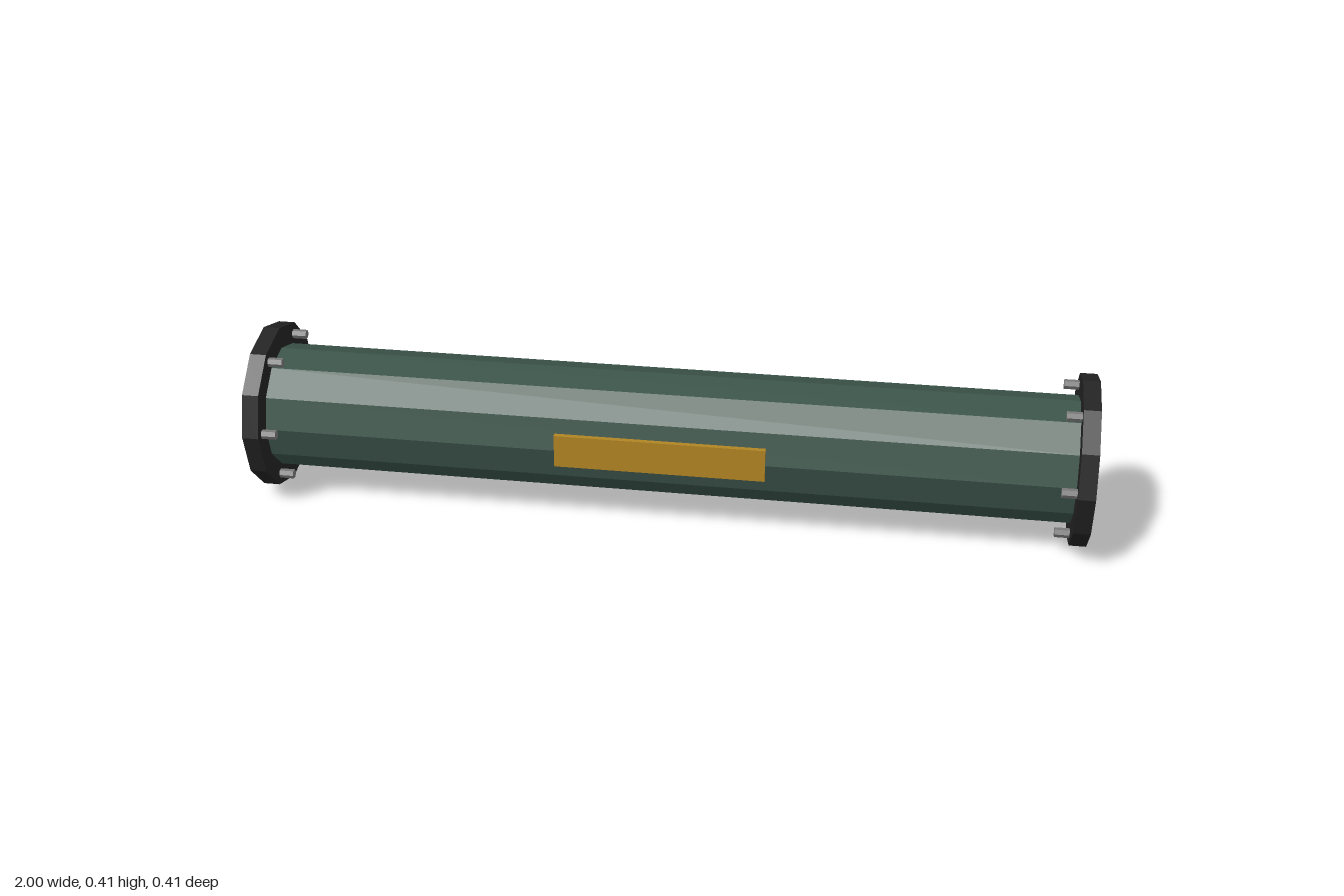
import * as THREE from 'three';

const AXIS_Y = 0.2025;

function material(name, color) {
  const m = new THREE.MeshStandardMaterial({ color, flatShading: true });
  m.name = name;
  return m;
}

// Cylinder lying along x, centred on the given point
function rod(name, radius, length, sides, mat, x, y, z) {
  const geometry = new THREE.CylinderGeometry(radius, radius, length, sides);
  geometry.rotateZ(Math.PI / 2);
  const mesh = new THREE.Mesh(geometry, mat);
  mesh.name = name;
  mesh.position.set(x, y, z);
  return mesh;
}

export function createModel() {
  const green = material('dark green', 0x3a5349);
  const black = material('black', 0x222222);
  const steel = material('bolt grey', 0x777777);
  const gold = material('gold', 0xb08422);

  const model = new THREE.Group();
  model.name = 'flangedPipe';

  // Main pipe
  model.add(rod('pipe', 0.15, 1.94, 12, green, 0, AXIS_Y, 0));

  // End flanges, each with a ring of six bolts
  for (const side of [-1, 1]) {
    const end = new THREE.Group();
    end.name = side > 0 ? 'leftEnd' : 'rightEnd';
    end.add(rod('flange', 0.2025, 0.04, 12, black, side * 0.98, AXIS_Y, 0));
    for (let i = 0; i < 6; i++) {
      const a = (i * Math.PI) / 3;
      end.add(rod('bolt', 0.0115, 0.0745, 6, steel, side * 0.9622,
        AXIS_Y + 0.174 * Math.sin(a), 0.174 * Math.cos(a)));
    }
    model.add(end);
  }

  // Marker plate on the front
  const plate = new THREE.Mesh(new THREE.BoxGeometry(0.5, 0.08, 0.015), gold);
  plate.name = 'markerPlate';
  plate.position.set(0, AXIS_Y, 0.145);
  model.add(plate);

  return model;
}
